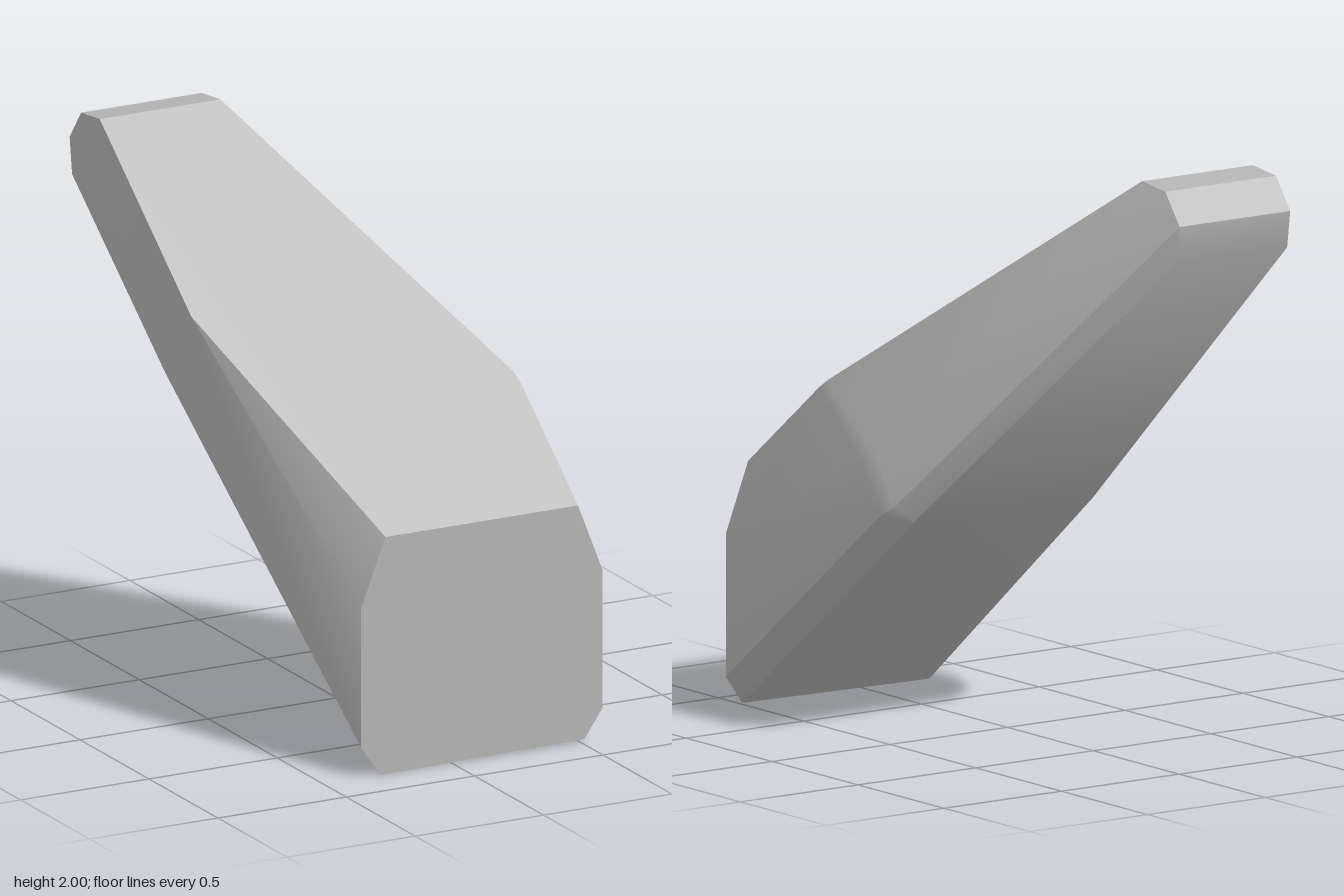
import * as THREE from 'three';
import { ConvexGeometry } from 'three/addons/geometries/ConvexGeometry.js';
import { toCreasedNormals } from 'three/addons/utils/BufferGeometryUtils.js';

// Points of one cross-section: a list of [a, b] pairs placed in 3D by a rule
const section = (pairs, place) => pairs.map(([a, b]) => new THREE.Vector3(...place(a, b)));

export function createModel() {
  const group = new THREE.Group();
  group.name = 'facetedWedge';
  const grey = new THREE.MeshStandardMaterial({ color: 0xb4b4b4 });
  grey.name = 'grey';

  // Upright front face with cut corners (x, y)
  const front = section([
    [-0.26, 0.855], [0.49, 0.855], [0.585, 0.61], [0.585, 0.11],
    [0.515, 0.01], [-0.28, 0], [-0.355, 0.11], [-0.355, 0.61],
  ], (x, y) => [x, y, 0.838]);

  // Bevelled upper end (y, z), running across between two x positions
  const bevel = [[2, -0.62], [1.985, -0.755], [1.875, -0.838], [1.745, -0.82]];
  const end = [-0.59, -0.12].flatMap((x) => section(bevel, (y, z) => [x, y, z]));

  // Left shoulder, where the flank turns forward
  const leftSide = [
    [0.585, 1.0, 0.07], [0.568, 1.045, 0], [0.49, 1.18, 0.425], [0.482, 1.212, 0.384],
    [0.585, 0.82, -0.06], [0.565, 0.86, -0.12],
  ];
  // Right shoulder
  const rightSide = [[-0.59, 1.475, 0.045], [-0.59, 1.22, -0.145]];
  // Fold across the underside
  const fold = [[-0.26, 0.8, -0.145], [0.505, 0.8, -0.145]];

  const turns = [...leftSide, ...rightSide, ...fold].map((p) => new THREE.Vector3(...p));
  const geometry = toCreasedNormals(new ConvexGeometry([...front, ...end, ...turns]), 0.5);

  const body = new THREE.Mesh(geometry, grey);
  body.name = 'body';
  group.add(body);
  return group;
}
